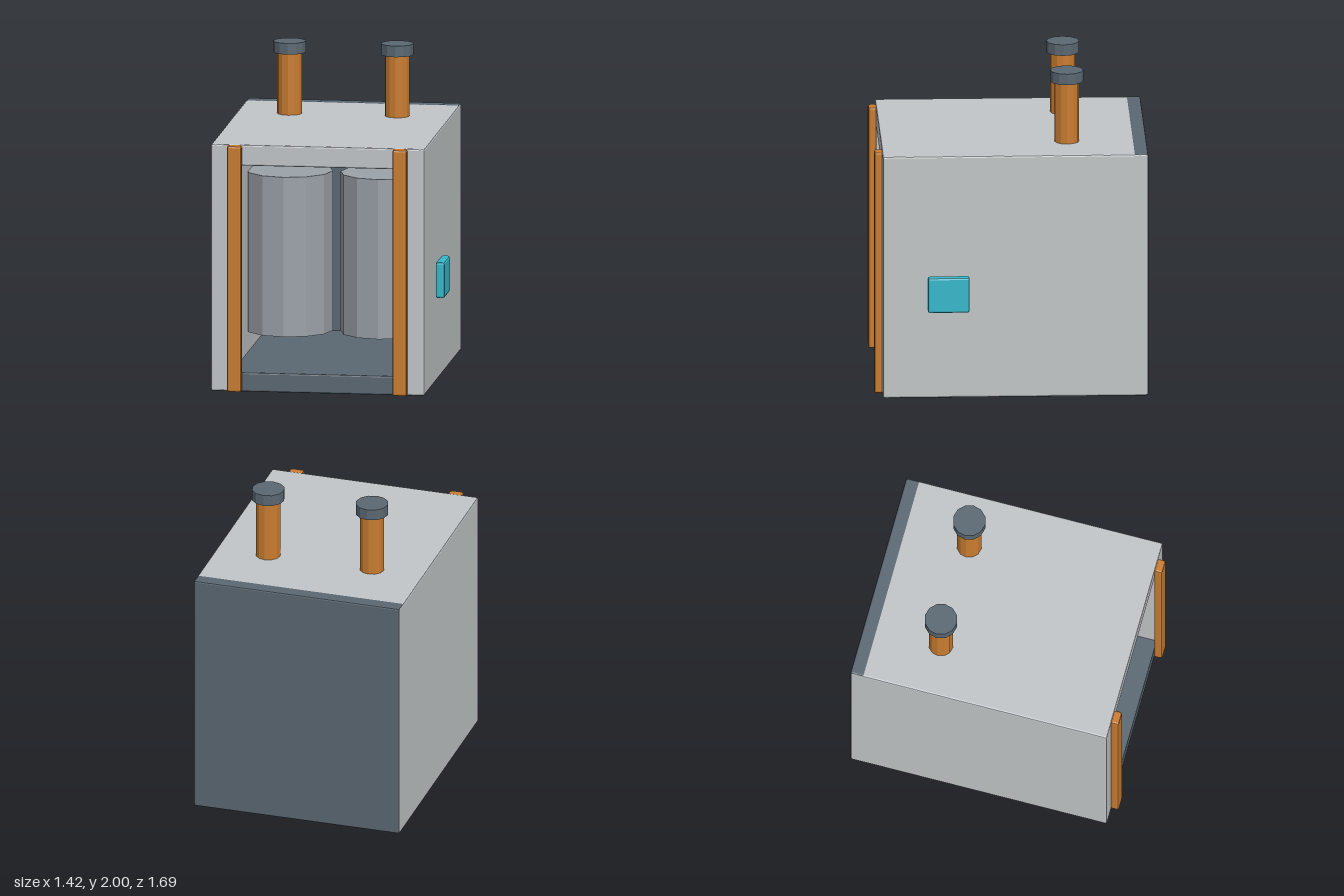
import * as THREE from 'three';
import { RoundedBoxGeometry } from 'three/addons/geometries/RoundedBoxGeometry.js';

export function createModel() {
  const model = new THREE.Group();
  model.name = 'tankCabinet';

  const paint = (name, color) => {
    const m = new THREE.MeshStandardMaterial({ color, flatShading: true });
    m.name = name;
    return m;
  };
  const wall = paint('light grey wall', 0xc2c6c8);
  const dark = paint('slate', 0x5a6772);
  const copper = paint('copper', 0xc97c30);
  const cyan = paint('cyan panel', 0x36b8ca);
  const steel = paint('tank steel', 0x9ba2a9);

  // Chamfered box given by its min and max corners
  const box = (name, mat, [x0, y0, z0], [x1, y1, z1], bevel = 0.01) => {
    const geo = new RoundedBoxGeometry(x1 - x0, y1 - y0, z1 - z0, 1, bevel);
    const mesh = new THREE.Mesh(geo, mat);
    mesh.position.set((x0 + x1) / 2, (y0 + y1) / 2, (z0 + z1) / 2);
    mesh.name = name;
    model.add(mesh);
  };

  // Upright twelve-sided cylinder
  const cylinder = (name, mat, r, x, y0, y1, z) => {
    const mesh = new THREE.Mesh(new THREE.CylinderGeometry(r, r, y1 - y0, 12), mat);
    mesh.position.set(x, (y0 + y1) / 2, z);
    mesh.name = name;
    model.add(mesh);
  };

  // Cabinet shell, open at the front
  const L = -0.71, R = 0.62, T = 0.13, top = 1.545, front = 0.795, back = -0.84;
  box('rightWall', wall, [L, 0.003, back], [L + T, top, front]);
  box('leftWall', wall, [R - T, 0.003, back], [R, top, front]);
  box('roof', wall, [L + 0.001, top - T, back], [R - 0.001, top + 0.001, front - 0.001]);
  box('floor', dark, [L + 0.002, 0, back], [R - 0.002, 0.12, front - 0.003]);
  box('backPanel', dark, [L + 0.002, 0.001, back - 0.003], [R - 0.002, top + 0.003, back + 0.085]);

  // Copper strips framing the opening
  for (const x of [-0.56, 0.47]) {
    box('frontPost', copper, [x - 0.045, 0.003, 0.79], [x + 0.045, top, 0.843], 0.013);
  }

  // Hanging tanks inside
  for (const x of [-0.335, 0.254]) cylinder('tank', steel, 0.27, x, 0.25, 1.25, -0.025);

  // Roof pipes with caps
  for (const x of [-0.38, 0.29]) {
    cylinder('pipe', copper, 0.077, x, 1.43, 1.94, -0.352);
    cylinder('pipeCap', dark, 0.102, x, 1.93, 2, -0.352);
  }

  // Control panel floating off the left wall
  box('controlPanel', cyan, [0.65, 0.565, 0.262], [0.706, 0.79, 0.52], 0.013);

  return model;
}
